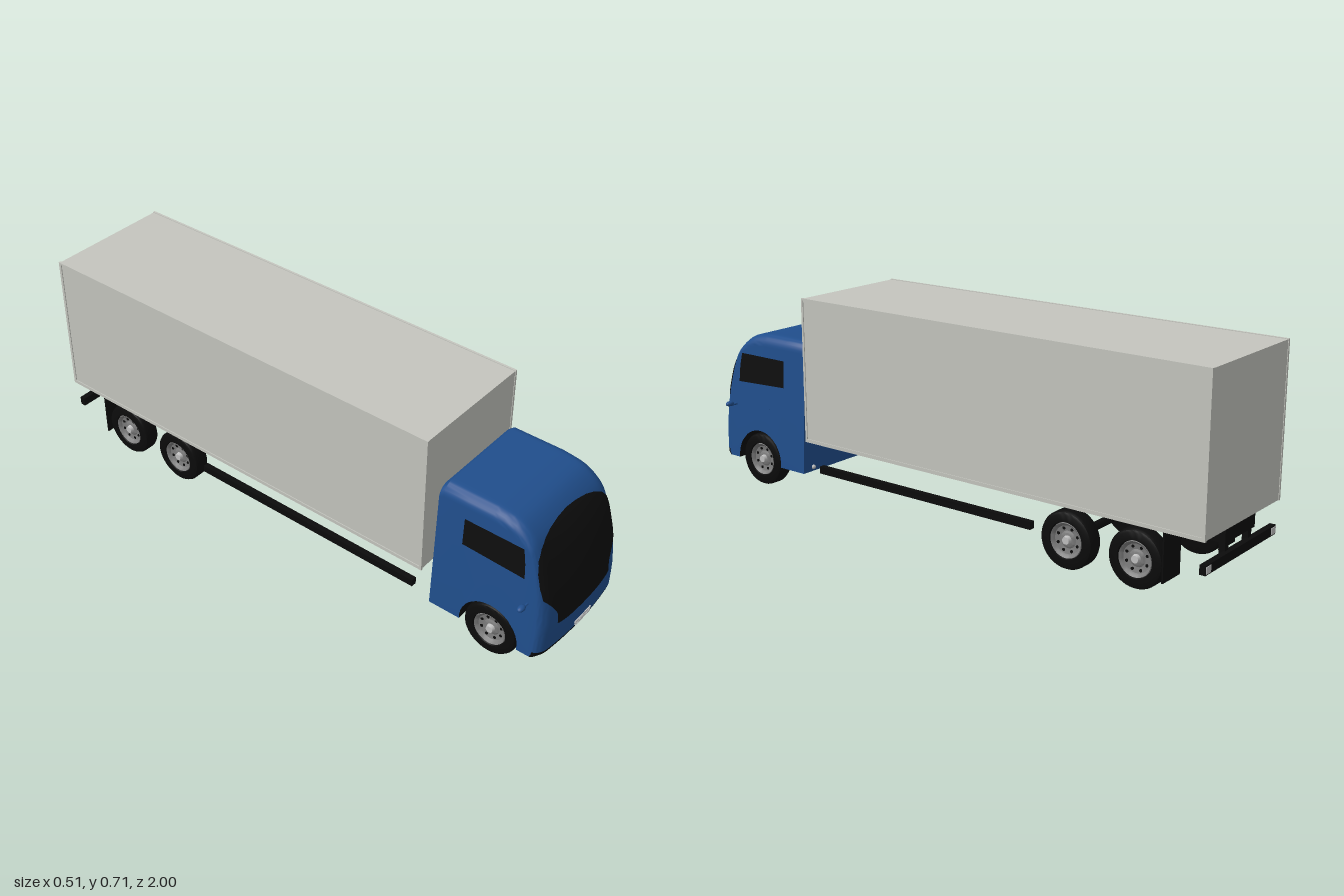
import * as THREE from 'three';
import { toCreasedNormals } from 'three/addons/utils/BufferGeometryUtils.js';

const paint = (name, color, side = THREE.FrontSide) => {
  const m = new THREE.MeshStandardMaterial({ color, side });
  m.name = name;
  return m;
};

export function createModel() {
  const blue = paint('cab blue', 0x204e8c);
  const grey = paint('cargo grey', 0xc4c5be);
  const black = paint('chassis black', 0x0b0b0b);
  const glass = paint('glass black', 0x0e0e0e, THREE.DoubleSide);
  const steel = paint('rim steel', 0x7c7c7c);
  const light = paint('light grey', 0xc0c0c0);
  const model = new THREE.Group();
  model.name = 'boxTruck';

  const add = (name, geo, mat, x = 0, y = 0, z = 0, parent = model) => {
    const m = new THREE.Mesh(geo, mat);
    m.name = name;
    m.position.set(x, y, z);
    parent.add(m);
    return m;
  };
  // box given by its limits on each axis
  const block = (name, mat, [x0, x1], [y0, y1], [z0, z1]) =>
    add(name, new THREE.BoxGeometry(x1 - x0, y1 - y0, z1 - z0), mat, (x0 + x1) / 2, (y0 + y1) / 2, (z0 + z1) / 2);

  // ---- cargo box with slim edge rails
  block('cargoBox', grey, [-0.227, 0.227], [0.212, 0.71], [-0.998, 0.553]);
  for (const s of [-1, 1]) {
    const xs = s > 0 ? [0.222, 0.23] : [-0.23, -0.222];
    block('bottomRail', grey, xs, [0.21, 0.222], [-1, 0.555]);
    block('topRail', grey, xs, [0.706, 0.712], [-1, 0.555]);
    block('rearPost', grey, xs, [0.21, 0.712], [-1, -0.99]);
    block('frontPost', grey, xs, [0.21, 0.712], [0.547, 0.555]);
  }

  // ---- chassis, side guards, rear bumper, mud flaps
  block('chassisFrame', black, [-0.09, 0.09], [0.163, 0.211], [-0.99, 0.59]);
  block('rearBumper', black, [-0.215, 0.215], [0.105, 0.135], [-0.998, -0.978]);
  for (const s of [-1, 1]) {
    const span = (a, b) => (s > 0 ? [a, b] : [-b, -a]);
    block('sideGuard', black, span(0.19, 0.21), [0.1, 0.125], [-0.385, 0.51]);
    block('mudFlap', black, span(0.12, 0.217), [0.047, 0.211], [-0.863, -0.858]);
    block('bumperBracket', black, span(0.06, 0.08), [0.115, 0.17], [-0.985, -0.965]);
    block('tailLight', light, span(0.185, 0.212), [0.109, 0.131], [-1, -0.996]);
  }

  // ---- cab: side profile swept across, then rounded and tapered by rule
  const axle = { z: 0.8, y: 0.095, r: 0.105 };
  const outline = [[0.582, 0.085]];
  for (let i = 0; i <= 20; i++) {
    const a = Math.PI + 0.095 - (i / 20) * (Math.PI + 0.19);
    outline.push([axle.z + axle.r * Math.cos(a), axle.y + axle.r * Math.sin(a)]);
  }
  outline.push([0.982, 0.085], [0.994, 0.095]);
  const nose = new THREE.SplineCurve([
    [0.998, 0.108], [1, 0.17], [0.998, 0.22], [0.985, 0.3], [0.957, 0.39], [0.93, 0.45],
    [0.895, 0.5], [0.845, 0.535], [0.77, 0.548]].map(p => new THREE.Vector2(...p)));
  nose.getPoints(32).forEach(p => outline.push([p.x, p.y]));
  outline.push([0.68, 0.548], [0.597, 0.548], [0.582, 0.535]);
  const swept = new THREE.ExtrudeGeometry(new THREE.Shape(outline.map(p => new THREE.Vector2(...p))),
    { depth: 2, steps: 40, bevelEnabled: false }).toNonIndexed().getAttribute('position');

  const R = 0.04;
  const shapeCab = (z, y, u) => {
    const a = Math.max(0, (Math.abs(u) - 0.6) / 0.4) * Math.PI / 2;
    const inset = R * (1 - Math.cos(a));
    const k = Math.sign(u) * (Math.min(Math.abs(u) / 0.6, 1) * (1 - R / 0.2) + (R / 0.2) * Math.sin(a));
    const x = -k * (0.2205 - 0.045 * y);
    const front = THREE.MathUtils.clamp((z - 0.91) / 0.09, 0, 1);
    return [x, y - inset * Math.max(0, (y - 0.3) / 0.25), z - front * (0.6 * inset + 0.018 * k * k)];
  };
  const shell = [], under = [];
  for (let t = 0; t < swept.count; t += 3) {
    const v = [0, 1, 2].map(i => [swept.getX(t + i), swept.getY(t + i), swept.getZ(t + i) - 1]);
    const isCap = v.every(p => Math.abs(p[2] - v[0][2]) < 1e-4);
    const isLow = v.every(([z, y]) => y <= 0.1085 || Math.hypot(z - axle.z, y - axle.y) <= 0.1055);
    const out = isLow && !isCap ? under : shell;
    v.forEach(([z, y, u]) => out.push(...shapeCab(z, y, u)));
  }
  const fromTriangles = list => {
    const g = new THREE.BufferGeometry();
    g.setAttribute('position', new THREE.Float32BufferAttribute(list, 3));
    return toCreasedNormals(g, 0.6);
  };
  const cab = add('cabShell', fromTriangles(shell), blue);
  add('cabUnderside', fromTriangles(under), black);

  // ---- glass: grids dropped onto the cab surface
  const ray = new THREE.Raycaster();
  const drape = (name, rows, cols, pointAt, dir, mat) => {
    const pos = [], idx = [];
    let last = new THREE.Vector3();
    for (let j = 0; j <= rows; j++) for (let i = 0; i <= cols; i++) {
      ray.set(pointAt(i / cols, j / rows), dir);
      const hit = ray.intersectObject(cab)[0];
      if (hit) last = hit.point.clone().addScaledVector(hit.face.normal, 0.003);
      pos.push(last.x, last.y, last.z);
      if (i < cols && j < rows) {
        const a = j * (cols + 1) + i, d = a + cols + 1;
        idx.push(a, a + 1, d + 1, a, d + 1, d);
      }
    }
    const g = new THREE.BufferGeometry();
    g.setAttribute('position', new THREE.Float32BufferAttribute(pos, 3));
    g.setIndex(idx);
    g.computeVertexNormals();
    return add(name, g, mat);
  };
  // windshield half widths by height
  const widths = [[0.19, 0.09], [0.195, 0.135], [0.2, 0.145], [0.235, 0.145], [0.25, 0.152], [0.275, 0.168],
    [0.31, 0.196], [0.35, 0.199], [0.4, 0.197], [0.44, 0.187], [0.465, 0.165], [0.48, 0.135],
    [0.49, 0.1], [0.497, 0.05], [0.5, 0.002]];
  drape('windshield', 42, 36, (s, t) => {
    const f = t * 14, i = Math.min(13, Math.floor(f + 1e-6)), q = f - i;
    const y = widths[i][0] + (widths[i + 1][0] - widths[i][0]) * q;
    const w = widths[i][1] + (widths[i + 1][1] - widths[i][1]) * q;
    return new THREE.Vector3((2 * s - 1) * w, y, 2);
  }, new THREE.Vector3(0, 0, -1), glass);
  for (const side of [-1, 1]) {
    drape('sideWindow', 12, 20, (s, t) => {
      const front = 0.9 - 0.014 * t * t, rear = 0.68;
      const q = side > 0 ? 1 - s : s;
      return new THREE.Vector3(side, 0.366 + 0.009 * (1 - q) * (1 - t) + 0.104 * t, rear + (front - rear) * q);
    }, new THREE.Vector3(-side, 0, 0), glass);
  }

  // ---- grille slats, mirrors, rear marker lamps
  for (let i = 0; i < 3; i++) {
    const w = 0.09 - (2 - i) * 0.001 * 4;
    add('grilleSlat', new THREE.BoxGeometry(w, 0.004, 0.006), light, 0, 0.114 + i * 0.007, 0.999);
  }
  for (const s of [-1, 1]) {
    const mirror = add('mirror', new THREE.SphereGeometry(1, 20, 12), blue, s * 0.24, 0.286, 0.92);
    mirror.scale.set(0.017, 0.009, 0.011);
    const arm = add('mirrorArm', new THREE.CylinderGeometry(0.004, 0.004, 0.036, 8), blue, s * 0.214, 0.28, 0.92);
    arm.rotation.z = Math.PI / 2;
    add('markerLamp', new THREE.SphereGeometry(0.008, 12, 8), light, s * 0.17, 0.1, 0.58);
  }

  // ---- wheels
  const lathe = pts => toCreasedNormals(new THREE.LatheGeometry(pts.map(p => new THREE.Vector2(...p)), 40), 0.6);
  const tyre = lathe([[0, -0.029], [0.083, -0.029], [0.09, -0.026], [0.094, -0.018], [0.094, 0.018],
    [0.09, 0.026], [0.083, 0.029], [0.06, 0.029], [0.055, 0.015]]);
  const rim = lathe([[0.058, 0.02], [0.056, 0.027], [0.051, 0.024], [0.046, 0.016], [0.028, 0.012], [0.022, 0.016], [0, 0.016]]);
  const hub = new THREE.CylinderGeometry(0.012, 0.015, 0.014, 16);
  const hole = new THREE.CylinderGeometry(0.005, 0.005, 0.003, 10);
  for (const z of [axle.z, -0.515, -0.76]) {
    for (const s of [-1, 1]) {
      const wheel = new THREE.Group();
      wheel.name = 'wheel';
      add('tyre', tyre, black, 0, 0, 0, wheel);
      add('rim', rim, steel, 0, 0, 0, wheel);
      add('hub', hub, light, 0, 0.021, 0, wheel);
      for (let i = 0; i < 8; i++) {
        const a = (i + 0.5) * Math.PI / 4;
        add('rimHole', hole, black, 0.038 * Math.cos(a), 0.0145, 0.038 * Math.sin(a), wheel);
      }
      wheel.position.set(s * 0.179, 0.094, z);
      wheel.rotation.z = -s * Math.PI / 2;
      model.add(wheel);
    }
    const bar = add('axle', new THREE.CylinderGeometry(0.014, 0.014, 0.32, 12), black, 0, 0.094, z);
    bar.rotation.z = Math.PI / 2;
  }
  return model;
}
